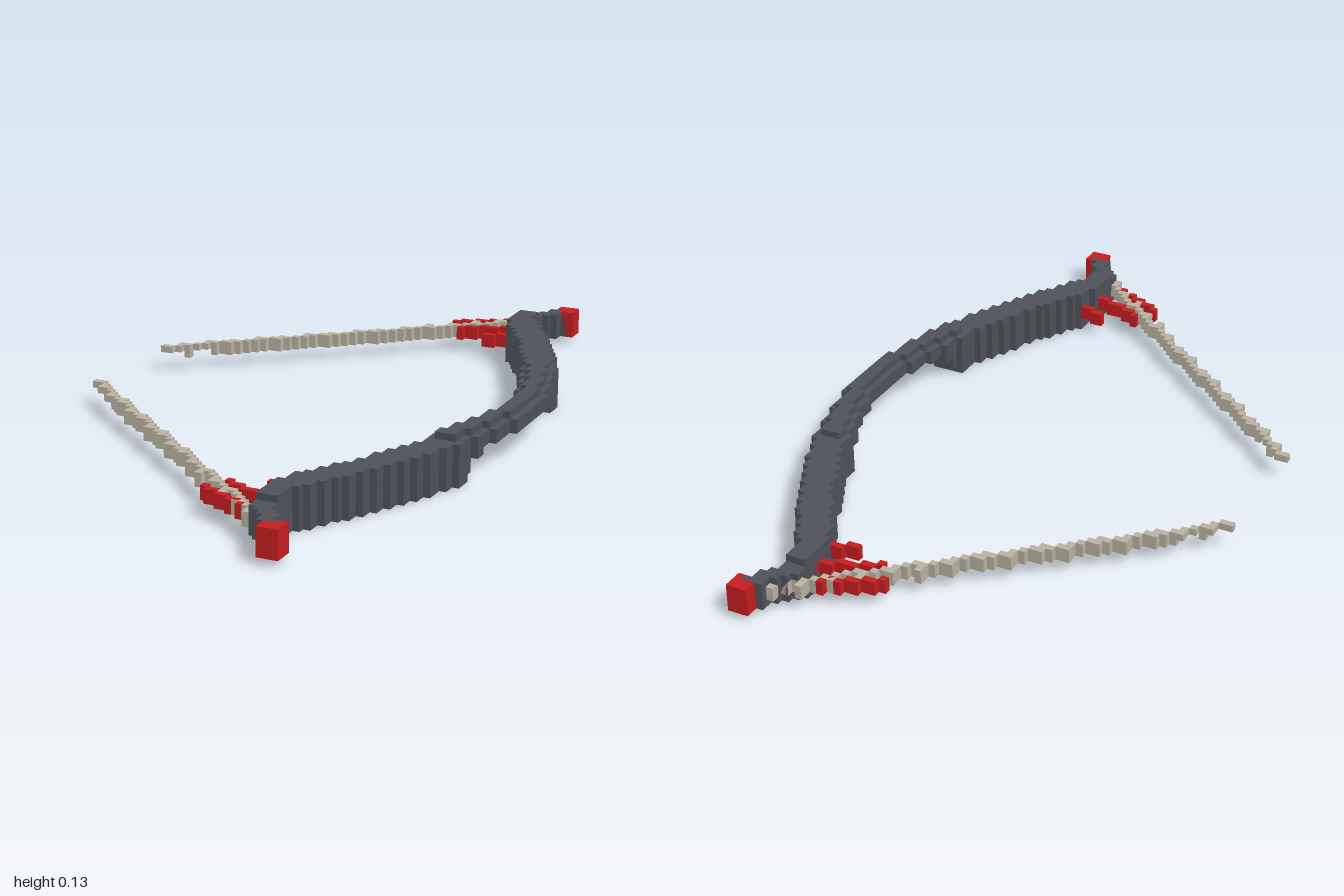
import * as THREE from 'three';
import { mergeGeometries } from 'three/addons/utils/BufferGeometryUtils.js';

const U = 2 / 108; // one cube

const limbMat = new THREE.MeshStandardMaterial({ color: 0x50535c });
limbMat.name = 'slate grey';
const redMat = new THREE.MeshStandardMaterial({ color: 0xc81e20 });
redMat.name = 'red';
const stringMat = new THREE.MeshStandardMaterial({ color: 0xbcb5a4 });
stringMat.name = 'cream';

// Block of cubes: ix counted from x = 0, iy from the ground, iz from z = 0
function block(ix, iy, iz, nx, ny, nz) {
  const g = new THREE.BoxGeometry(nx * U, ny * U, nz * U);
  g.translate((ix + nx / 2) * U, (iy + ny / 2) * U, (iz + nz / 2) * U);
  return g;
}

function part(name, blocks, material) {
  const mesh = new THREE.Mesh(mergeGeometries(blocks), material);
  mesh.name = name;
  return mesh;
}

// Limb plan: distance from the middle, inner x, outer x
const PLAN = [
  [0, 0.51, 0.59], [0.1, 0.51, 0.588], [0.2, 0.485, 0.565], [0.35, 0.44, 0.53],
  [0.5, 0.375, 0.465], [0.6, 0.325, 0.415], [0.7, 0.265, 0.355], [0.75, 0.245, 0.325],
  [0.8, 0.24, 0.295], [0.87, 0.24, 0.295], [0.91, 0.27, 0.32], [0.95, 0.3, 0.35], [1, 0.325, 0.37],
];

function planAt(d) {
  let k = 0;
  while (k < PLAN.length - 2 && PLAN[k + 1][0] < d) k++;
  const [a, b] = [PLAN[k], PLAN[k + 1]];
  const t = (d - a[0]) / (b[0] - a[0]);
  return [1, 2].map((j) => Math.round((a[j] + (b[j] - a[j]) * t) / U));
}

// Lowest and highest row of the limb (top exclusive)
function rowsAt(d) {
  const top = d < 0.335 ? 7 : d < 0.86 ? 6 : 5;
  const bottom = d < 0.25 ? 4 : d < 0.27 ? 3 : d < 0.285 ? 2 : d < 0.3 ? 1 : d < 0.86 ? 0 : 1;
  return [bottom, top];
}

// Index of a slice on either half; side is +1 or -1
const slice = (side, k, n = 1) => (side > 0 ? k : -k - n);

function limb(side) {
  const out = [];
  for (let k = 0; k < 52; k++) {
    const d = (k + 0.5) * U;
    const [x0, x1] = planAt(d);
    const [y0, y1] = rowsAt(d);
    const z = slice(side, k);
    if (y1 === 7) {
      // raised ridge along the grip, one cube in from each edge
      out.push(block(x0, y0, z, x1 - x0, 6 - y0, 1));
      out.push(block(x0 + 1, 6, z, x1 - x0 - 2, 1, 1));
    } else {
      out.push(block(x0, y0, z, x1 - x0, y1 - y0, 1));
    }
  }
  return out;
}

// Rounded red cap at the limb end
function tip(side) {
  return [
    block(17, 1, slice(side, 52, 2), 3, 4, 2),
    block(18, 1, slice(side, 51, 1), 2, 4, 1),
    block(17, 2, slice(side, 51, 1), 1, 2, 1),
  ];
}

// Cut string running from its loose end to the limb
function bowString(side) {
  const out = [];
  const shift = side > 0 ? -1 : 0;
  for (let i = -32; i < 16; i++) {
    const f = (j) => Math.round((0.178 + (j * U + 0.593) * 0.84) / U);
    const k = f(i);
    const n = Math.max(1, f(i + 1) - k) + (i % 3 === 0 ? 1 : 0);
    const thin = i < -26 && i !== -29;
    out.push(block(i, thin ? 3 : 2, slice(side, k + shift, n), 1, thin ? 1 : 2, n));
  }
  return out;
}

// Three slanted red ribbons beside the string: start x, start z, end x, end z
const RIBBONS = [[0.06, 0.79, 0.2, 0.862], [0.1, 0.738, 0.25, 0.805], [0.19, 0.693, 0.265, 0.725]];

function ribbons(side) {
  const out = [];
  const shift = side > 0 ? -1 : 0;
  for (const [xa, za, xb, zb] of RIBBONS) {
    const a = Math.round(xa / U);
    const b = Math.round(xb / U);
    for (let i = a; i < b; i++) {
      const k = Math.floor((za + ((zb - za) * (i - a)) / (b - a)) / U);
      out.push(block(i, 2, slice(side, k + shift), 1, 2, 1));
    }
  }
  return out;
}

export function createModel() {
  const model = new THREE.Group();
  model.name = 'brokenBow';
  for (const [side, label] of [[1, 'front'], [-1, 'back']]) {
    model.add(part(label + 'Limb', limb(side), limbMat));
    model.add(part(label + 'Tip', tip(side), redMat));
    model.add(part(label + 'String', bowString(side), stringMat));
    model.add(part(label + 'Ribbons', ribbons(side), redMat));
  }
  return model;
}
